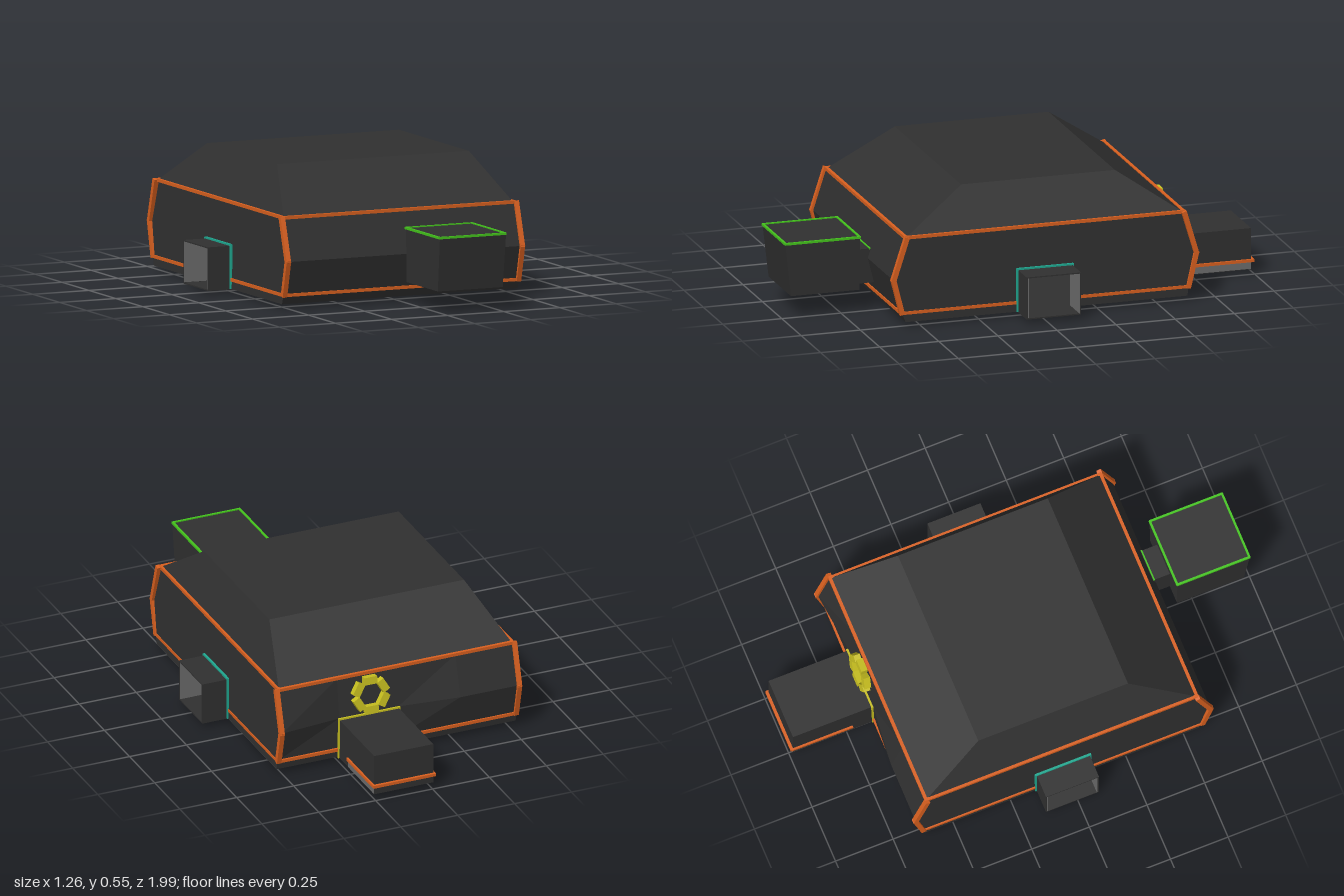
import * as THREE from 'three';

const mat = (color) => new THREE.MeshStandardMaterial({ color, flatShading: true, side: THREE.DoubleSide });
const dark = mat(0x303030), orange = mat(0xd9601f), green = mat(0x44c41c), teal = mat(0x1fa890);
const yellow = mat(0xc8c020), rust = mat(0x8a3418), grey = mat(0x6c6c6c);

export function createModel() {
  const model = new THREE.Group();
  const V = (x, y, z) => new THREE.Vector3(x, y, z);

  function add(name, geo, material, parent = model) {
    const m = new THREE.Mesh(geo, material);
    m.name = name;
    parent.add(m);
    return m;
  }
  // Box given by its minimum and maximum corners
  function block(name, a, b, material, parent) {
    const m = add(name, new THREE.BoxGeometry(b[0] - a[0], b[1] - a[1], b[2] - a[2]), material, parent);
    m.position.set((a[0] + b[0]) / 2, (a[1] + b[1]) / 2, (a[2] + b[2]) / 2);
    return m;
  }
  // Surface made of four-cornered panels
  function panels(name, quads, material = dark) {
    const p = [];
    for (const [a, b, c, d] of quads) for (const v of [a, b, c, a, c, d]) p.push(v.x, v.y, v.z);
    const g = new THREE.BufferGeometry();
    g.setAttribute('position', new THREE.Float32BufferAttribute(p, 3));
    g.computeVertexNormals();
    return add(name, g, material);
  }
  // Strip of square bars along a path
  function trim(name, pts, w, material) {
    const g = new THREE.Group();
    g.name = name;
    for (let i = 0; i + 1 < pts.length; i++) {
      const a = V(...pts[i]), b = V(...pts[i + 1]);
      const bar = add(name + 'Bar', new THREE.BoxGeometry(w, w, a.distanceTo(b) + w * 0.6), material, g);
      bar.position.copy(a).lerp(b, 0.5);
      bar.lookAt(b);
    }
    model.add(g);
  }

  // Hull levels: y, left/right x, back/front z
  const levels = [
    [0.022, -0.53, 0.52, -0.627, 0.565],
    [0.06, -0.53, 0.52, -0.632, 0.58],
    [0.2, -0.525, 0.513, -0.665, 0.615],
    [0.37, -0.52, 0.505, -0.615, 0.56],
    [0.55, -0.425, 0.43, -0.35, 0.3],
  ];
  const doorZ = [-0.14, 0.09], doorX = [-0.01, 0.25], doorTop = 0.197;

  // Front wall, one panel per level
  const front = [];
  for (let i = 0; i < 3; i++) {
    const [y, l, r, , f] = levels[i], [Y, L, R, , F] = levels[i + 1];
    front.push([V(l, y, f), V(r, y, f), V(R, Y, F), V(L, Y, F)]);
  }
  panels('frontWall', front);

  // Back wall, flattened around the rear doorway
  const back = [];
  const backPoint = (i, c) => {
    const [y, l, r, b] = levels[i];
    const z = i === 2 && (c === 2 || c === 3) ? -0.637 : b;
    return V([l, -0.27, doorX[0], doorX[1], r][c], y, z);
  };
  for (let i = 0; i < 3; i++) for (let c = 0; c < 4; c++) {
    if (c === 2 && i < 2) continue;
    back.push([backPoint(i, c + 1), backPoint(i, c), backPoint(i + 1, c), backPoint(i + 1, c + 1)]);
  }
  panels('backWall', back);

  // Side walls with a doorway cut in the lower edge
  for (const s of [1, -1]) {
    const pts = [];
    for (let i = 0; i < 4; i++) pts.push([levels[i][4], levels[i][0]]);
    for (let i = 3; i >= 0; i--) pts.push([levels[i][3], levels[i][0]]);
    pts.push([doorZ[0], 0.022], [doorZ[0], doorTop], [doorZ[1], doorTop], [doorZ[1], 0.022]);
    const g = new THREE.ShapeGeometry(new THREE.Shape(pts.map((p) => new THREE.Vector2(...p))));
    const pos = g.attributes.position;
    for (let i = 0; i < pos.count; i++) {
      const z = pos.getX(i), y = pos.getY(i), lean = (y - 0.022) * 0.035;
      pos.setXYZ(i, s > 0 ? 0.52 - lean : -0.53 + lean, y, z);
    }
    g.computeVertexNormals();
    add(s > 0 ? 'leftWall' : 'rightWall', g, dark);
  }

  // Sloping roof and flat top
  const ring = ([y, l, r, b, f]) => [V(l, y, f), V(r, y, f), V(r, y, b), V(l, y, b)];
  const low = ring(levels[3]), high = ring(levels[4]);
  panels('roof', [...low.map((p, i) => [p, low[(i + 1) % 4], high[(i + 1) % 4], high[i]]), high]);
  panels('floor', [ring(levels[0]).reverse()]);

  // Side entrance ducts, open at both ends, with teal door frames
  for (const s of [1, -1]) {
    const wall = s > 0 ? 0.515 : -0.525, end = s * 0.632, t = 0.005;
    const x0 = Math.min(wall, end), x1 = Math.max(wall, end), [b, f] = doorZ;
    const name = s > 0 ? 'leftEntrance' : 'rightEntrance';
    block(name + 'Roof', [x0, doorTop - t, b], [x1, doorTop, f], dark);
    block(name + 'Floor', [x0, 0.02, b], [x1, 0.02 + t, f], dark);
    for (const z of [b, f - t]) block(name + 'Wall', [x0, 0.02, z], [x1, doorTop, z + t], dark);
    for (const z of [b + t, f - 2 * t]) block(name + 'Lining', [x0, 0.026, z], [x1, doorTop - t, z + t * 0.5], grey);
    const x = wall + s * 0.006;
    trim(name + 'Frame', [[x, 0.025, f + 0.002], [x, 0.2, f + 0.002], [x, 0.2, b - 0.002], [x, 0.025, b - 0.002]], 0.009, teal);
  }

  // Rear bay with wraparound orange strip and a low side vent
  block('rearBay', [doorX[0], 0.022, -0.985], [doorX[1], 0.195, -0.63], dark);
  block('rearVent', [doorX[1] - 0.005, 0.025, -0.983], [doorX[1] + 0.002, 0.052, -0.73], grey);
  trim('rearBayTrim', [[-0.012, 0.06, -0.73], [-0.012, 0.06, -0.991], [0.252, 0.06, -0.991], [0.252, 0.06, -0.73]], 0.012, orange);
  trim('rearDoorFrame', [[-0.012, 0.025, -0.638], [-0.012, 0.198, -0.642], [0.252, 0.198, -0.642], [0.252, 0.025, -0.638]], 0.008, yellow);

  // Front bay: tapered box, short connector and green edging
  const bay = block('frontBay', [-0.03, 0.095, 0.675], [0.265, 0.315, 0.99], dark);
  const bp = bay.geometry.attributes.position;
  for (let i = 0; i < bp.count; i++) {
    if (bp.getY(i) < 0 && bp.getZ(i) > 0) bp.setZ(i, bp.getZ(i) - 0.025);
    if (bp.getY(i) < 0) bp.setX(i, bp.getX(i) * 0.98);
  }
  bay.geometry.computeVertexNormals();
  block('frontConnector', [0.05, 0.097, 0.58], [0.185, 0.24, 0.68], dark);
  trim('frontBayTrim', [[-0.03, 0.315, 0.675], [-0.03, 0.315, 0.988], [0.263, 0.315, 0.988], [0.263, 0.315, 0.675], [-0.03, 0.315, 0.675]], 0.009, green);
  trim('frontConnectorTrim', [[0.05, 0.24, 0.607], [0.185, 0.24, 0.607]], 0.006, green);

  // Orange edging: upper ring, corner posts, lower edge broken by the doors
  const [, L, R, B, F] = levels[3];
  trim('upperTrim', [[L, 0.372, F], [R, 0.372, F], [R, 0.372, B], [L, 0.372, B], [L, 0.372, F]], 0.013, orange);
  for (const x of [-0.528, 0.515]) {
    for (const k of [3, 4]) {
      trim('cornerTrim', [1, 2, 3].map((i) => [x, levels[i][0], levels[i][k]]), 0.02, orange);
    }
    trim('lowerSideTrim', [[x, 0.06, 0.58], [x, 0.06, 0.1]], 0.013, orange);
    trim('lowerSideTrim', [[x, 0.06, -0.15], [x, 0.06, -0.632]], 0.013, orange);
  }
  trim('lowerFrontTrim', [[-0.53, 0.06, 0.58], [0.52, 0.06, 0.58]], 0.013, orange);
  trim('lowerBackTrim', [[-0.53, 0.06, -0.633], [-0.02, 0.06, -0.635]], 0.013, orange);
  trim('lowerBackTrim', [[0.26, 0.06, -0.635], [0.52, 0.06, -0.633]], 0.013, orange);

  // Rings of chunky blocks: one on the back wall, one under the floor
  function blockRing(name, n, radius, size, material) {
    const g = new THREE.Group();
    g.name = name;
    for (let i = 0; i < n; i++) {
      const a = ((i + 0.5) / n) * Math.PI * 2;
      const m = add(name + 'Block', new THREE.BoxGeometry(...size), material, g);
      m.position.set(Math.cos(a) * radius, Math.sin(a) * radius, 0);
      m.rotation.z = a;
    }
    model.add(g);
    return g;
  }
  const wallRing = blockRing('backWallRing', 6, 0.062, [0.032, 0.055, 0.028], yellow);
  wallRing.position.set(0.115, 0.285, -0.643);
  wallRing.rotation.x = 0.12;
  const floorRing = blockRing('underFloorRing', 6, 0.09, [0.034, 0.072, 0.016], rust);
  floorRing.position.set(0.177, 0.014, -0.36);
  floorRing.rotation.x = Math.PI / 2;

  // Tilted hatch under the floor and a low shelf inside
  const hatch = block('underFloorHatch', [-0.44, 0.008, -0.535], [-0.385, 0.014, -0.48], rust);
  hatch.rotation.z = 0.27;
  block('innerShelf', [-0.42, 0.075, -0.03], [-0.36, 0.092, 0.088], dark);
  return model;
}
